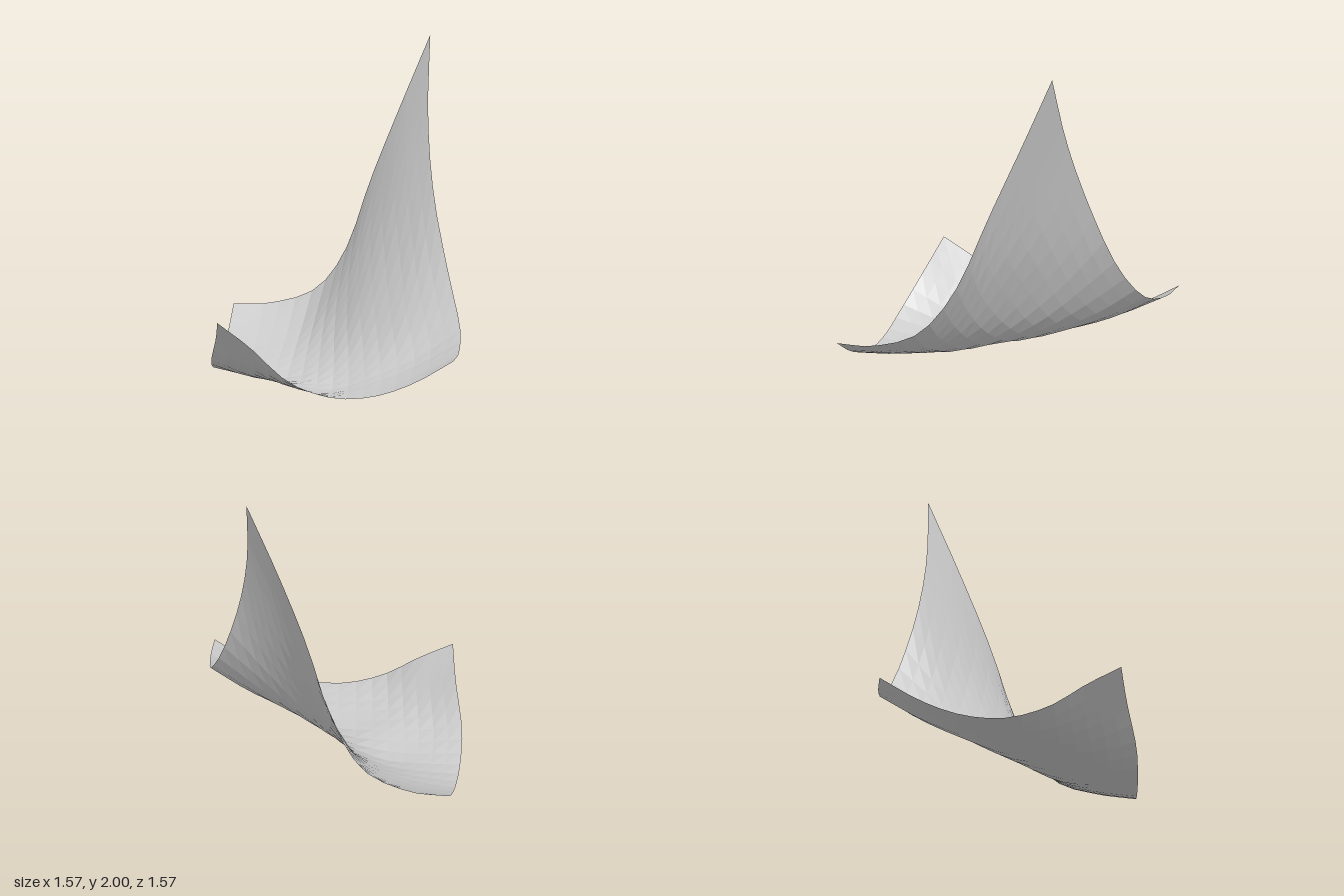
import * as THREE from 'three';

// Control net of the sheet: rows run from back to front, points from left to right.
// Only the half up to the mirror diagonal is listed; the rest follows by reflection.
const HALF = [
  [[-0.785, 0.28, -0.785], [-0.55, 0.295, -0.783], [-0.28, 0.4, -0.742], [-0.085, 0.67, -0.643],
    [0.075, 1.1, -0.53], [0.255, 1.54, -0.465], [0.447, 2, -0.447]],
  [[-0.784, 0.14, -0.55], [-0.54, 0.16, -0.53], [-0.3, 0.235, -0.51], [-0.1, 0.45, -0.42],
    [0.08, 0.77, -0.35], [0.28, 1.15, -0.28]],
  [[-0.781, 0.05, -0.3], [-0.54, 0.06, -0.275], [-0.31, 0.1, -0.24], [-0.085, 0.24, -0.19], [0.125, 0.49, -0.125]],
  [[-0.776, 0.037, -0.04], [-0.54, 0.012, -0.015], [-0.305, 0.004, 0.015], [-0.05, 0.09, 0.05]],
  [[-0.757, 0.125, 0.215], [-0.525, 0.05, 0.25], [-0.28, 0.02, 0.28]],
  [[-0.692, 0.305, 0.445], [-0.483, 0.155, 0.483]],
  [[-0.65, 0.44, 0.65]],
];
const N = HALF.length;
const SEGMENTS = 16;

// Point of the net, mirrored across the plane x = -z where needed
function netPoint(i, j) {
  if (i + j < N) return new THREE.Vector3(...HALF[j][i]);
  const [x, y, z] = HALF[N - 1 - i][N - 1 - j];
  return new THREE.Vector3(-z, y, -x);
}

const spline = (points) => new THREE.CatmullRomCurve3(points, false, 'catmullrom', 0.5);

export function createModel() {
  const group = new THREE.Group();
  group.name = 'drapedSheet';

  const rows = Array.from({ length: N }, (_, j) =>
    spline(Array.from({ length: N }, (_, i) => netPoint(i, j))));

  // Bend a plane grid over the net: across each row first, then from back to front
  const geometry = new THREE.PlaneGeometry(1, 1, SEGMENTS, SEGMENTS);
  const position = geometry.attributes.position;
  for (let a = 0; a <= SEGMENTS; a++) {
    const column = spline(rows.map((row) => row.getPoint(a / SEGMENTS)));
    for (let b = 0; b <= SEGMENTS; b++) {
      const p = column.getPoint(b / SEGMENTS);
      position.setXYZ(b * (SEGMENTS + 1) + a, p.x, Math.max(p.y, 0), p.z);
    }
  }
  geometry.computeVertexNormals();

  const sheet = new THREE.Mesh(geometry, new THREE.MeshStandardMaterial({
    color: 0xcccccc, flatShading: true, side: THREE.DoubleSide,
  }));
  sheet.name = 'curvedSheet';
  group.add(sheet);
  return group;
}
